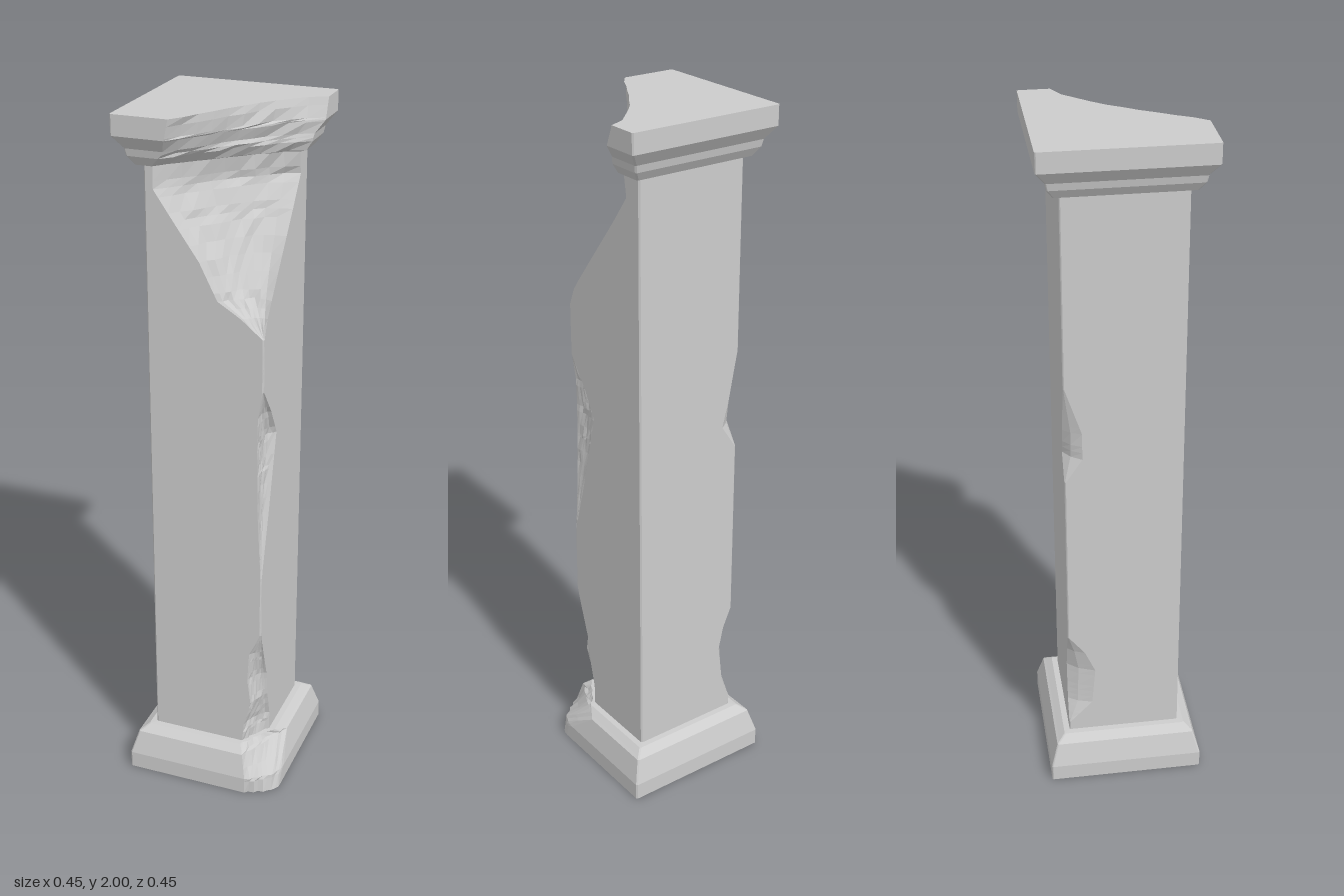
import * as THREE from 'three';

// Half width of the square pillar by height: [y, half]
const PROFILE = [[0, 0.227], [0.05, 0.227], [0.12, 0.207], [0.125, 0.2], [0.139, 0.182], [0.14, 0.165],
  [1.86, 0.165], [1.865, 0.182], [1.89, 0.198], [1.91, 0.202], [1.945, 0.227], [2, 0.227]];

// Broken front-left corner: [y, x where the break meets the front, z where it meets the side, hollow depth]
const BREAK = [[0, 0.14, 0.13, -0.025], [0.05, 0.14, 0.12, -0.02], [0.12, 0.125, 0.035, 0],
  [0.14, 0.11, 0.08, 0.005], [0.2, 0.115, 0.08, 0.01], [0.28, 0.135, 0.1, 0.005], [0.36, 0.125, 0.11, 0.01],
  [0.45, 0.13, 0.14, 0.005], [0.52, 0.162, 0.162, 0], [0.71, 0.162, 0.162, 0],
  [0.9, 0.152, 0.11, 0.012], [1.12, 0.148, 0.055, 0.015], [1.2, 0.15, 0.1, 0.012], [1.28, 0.162, 0.16, 0],
  [1.43, 0.162, 0.162, 0], [1.48, 0.1, 0.14, 0.01], [1.52, 0.035, 0.11, 0.022], [1.62, -0.015, 0.03, 0.035],
  [1.72, -0.085, -0.05, 0.03], [1.8, -0.14, -0.11, 0.02], [1.86, -0.14, -0.1, 0.015],
  [1.9, -0.1, -0.1, 0.02], [1.95, -0.08, -0.12, 0.028], [2, -0.07, -0.14, 0.03]];

// Chips on the back-right corner: [y, width on the back, width on the side]
const CHIP = [[0, 0.004, 0.004], [0.17, 0.004, 0.004], [0.24, 0.03, 0.07], [0.36, 0.045, 0.08], [0.43, 0.03, 0.05],
  [0.49, 0.004, 0.004], [1.03, 0.004, 0.004], [1.1, 0.05, 0.05], [1.18, 0.03, 0.05], [1.32, 0.004, 0.004], [2, 0.004, 0.004]];

const MIDS = 9;

// Linear lookup in a table keyed by height
function at(table, y) {
  let i = 1;
  while (i < table.length - 1 && table[i][0] < y) i++;
  const a = table[i - 1], b = table[i];
  const t = THREE.MathUtils.clamp((y - a[0]) / (b[0] - a[0]), 0, 1);
  return a.slice(1).map((v, k) => v + (b[k + 1] - v) * t);
}

// Repeatable roughness in -1..1
function rough(i, y) {
  const s = Math.sin(i * 12.99 + y * 78.23) * 4375.85;
  return (s - Math.floor(s)) * 2 - 1;
}

// One cross-section: a square with the broken corner and the chipped corner
function ring(y) {
  const [h] = at(PROFILE, y);
  const [bx, bz, depth] = at(BREAK, y);
  const [cx, cz] = at(CHIP, y);
  const x = Math.min(bx, h - 0.004), z = Math.min(bz, h - 0.004);
  const size = Math.hypot(h - x, h - z);
  const points = [
    [-h, -h + cz], [-h + cx * 0.42, -h + cz * 0.4], [-h + cx, -h],
    [h - 0.004, -h], [h, -h + 0.004], [h, z]];
  for (let i = 1; i <= MIDS; i++) {
    const t = i / (MIDS + 1);
    const pull = depth * Math.sin(Math.PI * Math.pow(t, 0.65)) + rough(i, y) * Math.min(0.005, size * 0.035);
    points.push([
      Math.min(h, h + (x - h) * t - pull * (h - z) / size),
      Math.min(h, z + (h - z) * t - pull * (h - x) / size)]);
  }
  points.push([x, h], [-h + 0.004, h], [-h, h - 0.004]);
  return points;
}

// Loft the cross-sections between two heights and close both ends
function loft(name, y0, y1, material) {
  const heights = [y0, y1];
  for (const table of [PROFILE, BREAK, CHIP]) for (const row of table) heights.push(row[0]);
  for (let y = y0; y < y1; y += 0.04) heights.push(Math.round(y * 1000) / 1000);
  const ys = [...new Set(heights)].filter((y) => y >= y0 && y <= y1).sort((a, b) => a - b);
  const rings = ys.map(ring);
  const n = rings[0].length, position = [], index = [];
  rings.forEach((r, j) => r.forEach(([x, z]) => position.push(x, ys[j], z)));
  for (let j = 0; j < ys.length - 1; j++) {
    for (let i = 0; i < n; i++) {
      const a = j * n + i, b = j * n + (i + 1) % n;
      index.push(a, a + n, b, b, a + n, b + n);
    }
  }
  // End faces, turned to face down and up
  for (const [j, up] of [[0, false], [ys.length - 1, true]]) {
    const outline = rings[j].map(([x, z]) => new THREE.Vector2(x, z));
    for (const [a, b, c] of THREE.ShapeUtils.triangulateShape(outline, [])) {
      const A = outline[a], B = outline[b], C = outline[c];
      const area = (B.x - A.x) * (C.y - A.y) - (B.y - A.y) * (C.x - A.x);
      const face = (area < 0) === up ? [a, b, c] : [a, c, b];
      index.push(...face.map((k) => j * n + k));
    }
  }
  const indexed = new THREE.BufferGeometry();
  indexed.setAttribute('position', new THREE.Float32BufferAttribute(position, 3));
  indexed.setIndex(index);
  const geometry = indexed.toNonIndexed();
  geometry.computeVertexNormals();
  const mesh = new THREE.Mesh(geometry, material);
  mesh.name = name;
  return mesh;
}

export function createModel() {
  const stone = new THREE.MeshStandardMaterial({ color: 0xcccccc, flatShading: true });
  const pillar = new THREE.Group();
  pillar.name = 'brokenPillar';
  pillar.add(
    loft('base', 0, 0.14, stone),
    loft('shaft', 0.14, 1.86, stone),
    loft('capital', 1.86, 2, stone));
  return pillar;
}
